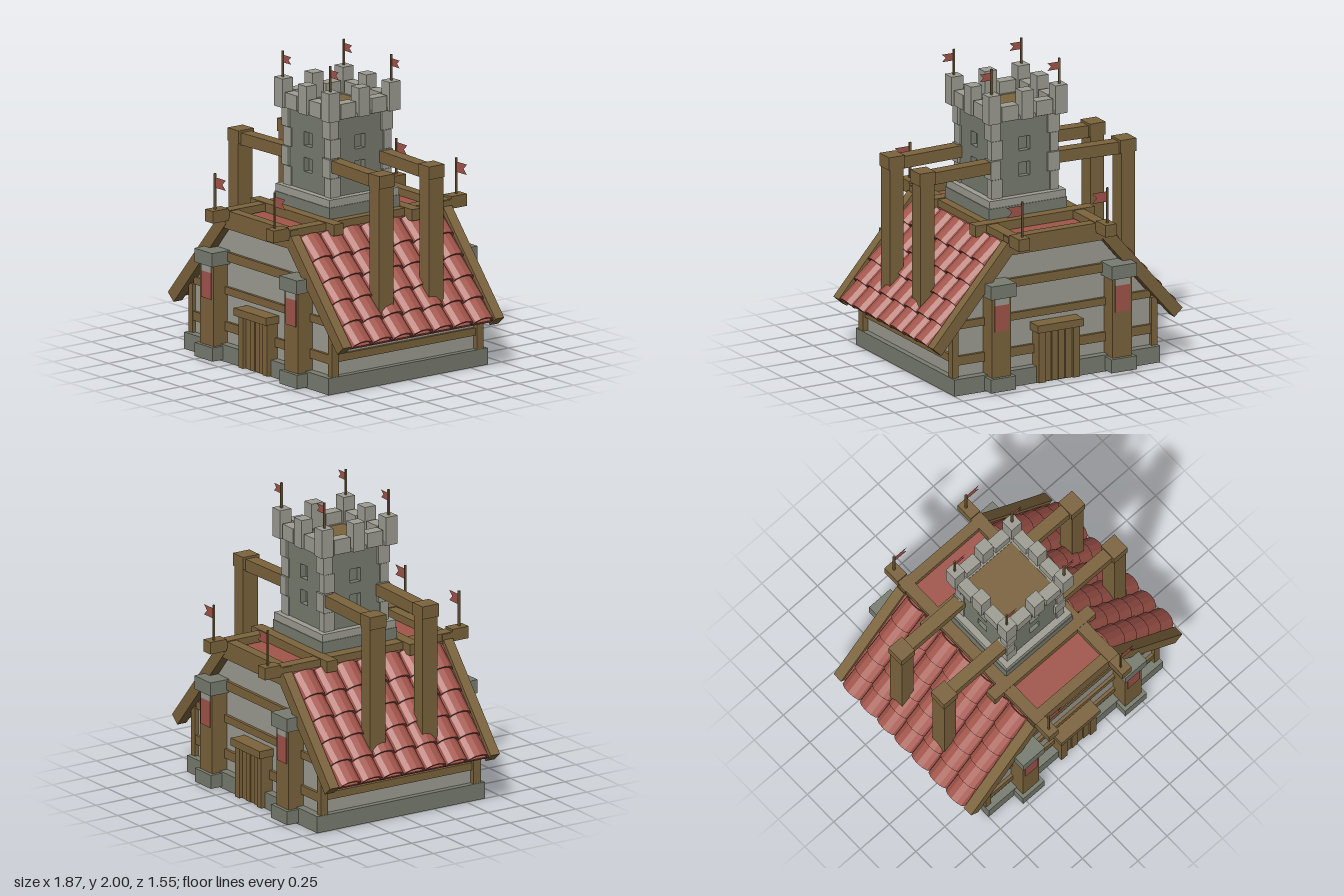
import * as THREE from 'three';

const mat = (name, color, side = THREE.FrontSide) => {
  const m = new THREE.MeshStandardMaterial({ color, side });
  m.name = name;
  return m;
};

export function createModel() {
  const wood = mat('wood', 0x7c643d);
  const red = mat('tileRed', 0xa2554b);
  const cloth = mat('clothRed', 0xa2554b, THREE.DoubleSide);
  const pale = mat('paleStone', 0x9e9e94);
  const stone = mat('darkStone', 0x797d70);

  const model = new THREE.Group();
  model.name = 'towerHouse';

  const add = (parent, name, geo, material) => {
    const m = new THREE.Mesh(geo, material);
    m.name = name;
    parent.add(m);
    return m;
  };
  // Box given by its extents on each axis
  const box = (parent, name, material, x0, x1, y0, y1, z0, z1) => {
    const m = add(parent, name, new THREE.BoxGeometry(x1 - x0, y1 - y0, z1 - z0), material);
    m.position.set((x0 + x1) / 2, (y0 + y1) / 2, (z0 + z1) / 2);
    return m;
  };
  const group = (name, parent = model) => {
    const g = new THREE.Group();
    g.name = name;
    parent.add(g);
    return g;
  };
  const polygon = pts => new THREE.Shape(pts.map(p => new THREE.Vector2(...p)));

  // House body
  box(model, 'foundation', stone, -0.75, 0.75, 0, 0.11, -0.64, 0.64);
  const gable = polygon([[-0.71, 0.1], [0.71, 0.1], [0.71, 0.44], [0.31, 0.91], [-0.31, 0.91], [-0.71, 0.44]]);
  const walls = add(model, 'walls', new THREE.ExtrudeGeometry(gable, { depth: 1.17, bevelEnabled: false }), pale);
  walls.position.z = -0.585;
  box(model, 'flatRoof', red, -0.33, 0.33, 0.89, 0.95, -0.59, 0.59);

  // Timber, door and pillars on front and back
  for (const [side, turn] of [['front', 0], ['back', Math.PI]]) {
    const g = group(side + 'Face');
    g.rotation.y = turn;
    for (const [y0, y1, w] of [[0.19, 0.25, 0.72], [0.43, 0.48, 0.7], [0.65, 0.71, 0.5]])
      box(g, 'crossTimber', wood, -w, w, y0, y1, 0.57, 0.605);
    box(g, 'gableBeam', wood, -0.36, 0.36, 0.88, 1.0, 0.575, 0.645);

    for (const s of [-1, 1]) {
      const p = group('pillar', g);
      p.position.x = 0.44 * s;
      box(p, 'pillarShaft', wood, -0.07, 0.07, 0.1, 0.64, 0.57, 0.7);
      box(p, 'pillarBase', stone, -0.092, 0.092, 0.01, 0.1, 0.57, 0.725);
      box(p, 'pillarCap', stone, -0.092, 0.092, 0.63, 0.72, 0.58, 0.728);
      box(p, 'banner', red, -0.052, 0.052, 0.405, 0.58, 0.699, 0.706);
      box(p, 'bannerTop', pale, -0.052, 0.052, 0.58, 0.625, 0.699, 0.706);
      box(g, 'doorPost', wood, 0.125 * s - 0.025, 0.125 * s + 0.025, 0.005, 0.35, 0.58, 0.67);
      box(g, 'cornerPost', wood, 0.725 * s - 0.022, 0.725 * s + 0.022, 0.11, 0.43, 0.555, 0.61);
    }
    box(g, 'doorLintel', wood, -0.17, 0.165, 0.345, 0.395, 0.58, 0.692);
    for (let i = 0; i < 4; i++) {
      const x = -0.1 + i * 0.05;
      box(g, 'doorPlank', wood, x + 0.002, x + 0.048, 0.005, 0.35, 0.58, 0.65 + (i % 2) * 0.006);
    }
  }

  // Arched roof tile, extruded down the slope
  const arc = (rx, ry, n = 6) => Array.from({ length: n + 1 }, (_, i) =>
    [rx * Math.cos(Math.PI * i / n), ry * Math.sin(Math.PI * i / n)]);
  const tileGeo = new THREE.ExtrudeGeometry(
    polygon([...arc(0.083, 0.058), ...arc(0.069, 0.044).reverse()]),
    { depth: 0.185, bevelEnabled: false });

  // Sloping roofs, side timbers and buttress posts
  const down = new THREE.Vector3(0.656, -0.755, 0);
  const out = new THREE.Vector3(0.755, 0.656, 0);
  for (const [side, turn] of [['left', 0], ['right', Math.PI]]) {
    const g = group(side + 'Side');
    g.rotation.y = turn;
    box(g, 'sideTimber', wood, 0.7, 0.73, 0.2, 0.25, -0.57, 0.57);
    box(g, 'wallPlate', wood, 0.7, 0.73, 0.39, 0.44, -0.57, 0.57);

    const roof = group('slopingRoof', g);
    roof.quaternion.setFromRotationMatrix(
      new THREE.Matrix4().makeBasis(new THREE.Vector3(0, 0, -1), out, down));
    roof.position.set(0.35, 0.925, 0);
    box(roof, 'roofSlab', red, -0.58, 0.58, -0.015, 0.012, -0.01, 0.8);
    for (const s of [-1, 1])
      box(roof, 'bargeBoard', wood, 0.613 * s - 0.035, 0.613 * s + 0.035, -0.04, 0.04, -0.02, 0.808);
    for (let row = 0; row < 5; row++)
      for (let col = -3; col <= 3; col++) {
        const t = add(roof, 'roofTile', tileGeo, red);
        t.position.set(col * 0.162, -0.008, row * 0.158 - 0.005);
        t.rotation.x = -0.15;
      }

    for (const s of [-1, 1]) {
      const z = 0.2 * s;
      box(g, 'tallPost', wood, 0.683, 0.782, 0.33, 1.31, z - 0.058, z + 0.058);
      box(g, 'postHead', wood, 0.675, 0.79, 1.3, 1.385, z - 0.062, z + 0.062);
      const brace = box(g, 'towerBrace', wood, 0.2, 0.7, 1.295, 1.375, z - 0.042, z + 0.042);
      brace.rotation.z = -0.02;
    }
    box(g, 'ridgeBeam', wood, 0.275, 0.355, 0.955, 1.005, -0.7, 0.7);
    for (const s of [-1, 1])
      box(g, 'ridgeBeamEnd', wood, 0.275, 0.355, 0.94, 1.02, 0.715 * s - 0.062, 0.715 * s + 0.062);
  }
  for (const s of [-1, 1])
    box(model, 'crossBeam', wood, -0.435, 0.435, 0.935, 1.01, 0.315 * s - 0.04, 0.315 * s + 0.04);

  // Tower
  const tower = group('tower');
  tower.position.x = 0.013;
  box(tower, 'lowerPlinth', stone, -0.285, 0.285, 0.94, 1.08, -0.285, 0.285);
  box(tower, 'upperPlinth', pale, -0.28, 0.28, 1.08, 1.13, -0.28, 0.28);
  box(tower, 'towerCore', stone, -0.19, 0.19, 1.12, 1.64, -0.19, 0.19);
  box(tower, 'towerFloor', wood, -0.21, 0.21, 1.63, 1.66, -0.21, 0.21);

  // Wall with two window openings
  const wall = polygon([[-0.235, 1.12], [0.235, 1.12], [0.235, 1.645], [-0.235, 1.645]]);
  for (const y of [1.25, 1.42])
    wall.holes.push(polygon([[-0.04, y], [-0.04, y + 0.092], [0.04, y + 0.092], [0.04, y]]));
  const wallGeo = new THREE.ExtrudeGeometry(wall, { depth: 0.04, bevelEnabled: false });

  for (let i = 0; i < 4; i++) {
    const g = group('towerSide', tower);
    g.rotation.y = i * Math.PI / 2;
    add(g, 'towerWall', wallGeo, stone).position.z = 0.195;
    box(g, 'parapet', pale, -0.24, 0.24, 1.64, 1.665, 0.19, 0.265);
    // Battlements
    box(g, 'cornerMerlon', pale, -0.287, -0.2, 1.64, 1.83, 0.2, 0.287);
    box(g, 'middleMerlon', pale, -0.044, 0.044, 1.64, 1.83, 0.2, 0.283);
    for (const s of [-1, 1])
      box(g, 'lowMerlon', pale, 0.125 * s - 0.06, 0.125 * s + 0.06, 1.645, 1.745, 0.2, 0.277);
    // Corner stones of alternating size
    for (let k = 0; k < 4; k++) {
      const y = 1.13 + k * 0.128, o = k % 2 ? 0.252 : 0.245;
      const a = k % 2 ? 0.185 : 0.165, b = k % 2 ? 0.165 : 0.185;
      box(g, 'cornerStone', pale, -o, -a, y, y + 0.124, b, o);
    }
  }

  // Swallow-tailed flags on poles
  const flag = (x, y, z, poleH, w, h) => {
    const g = group('flag');
    g.position.set(x, y, z);
    box(g, 'flagPole', wood, -0.006, 0.006, -0.02, poleH, -0.006, 0.006);
    const shape = polygon([[0, 0], [w, 0], [w * 0.7, h / 2], [w, h], [0, h]]);
    add(g, 'flagCloth', new THREE.ShapeGeometry(shape), cloth).position.y = poleH - h - 0.025;
  };
  for (const sz of [-1, 1]) {
    for (const x of [-0.235, 0.258]) flag(x, 1.83, 0.245 * sz, 0.17, 0.085, 0.05);
    for (const x of [-0.315, 0.305]) flag(x, 1.02, 0.73 * sz, 0.235, 0.112, 0.068);
  }
  return model;
}
